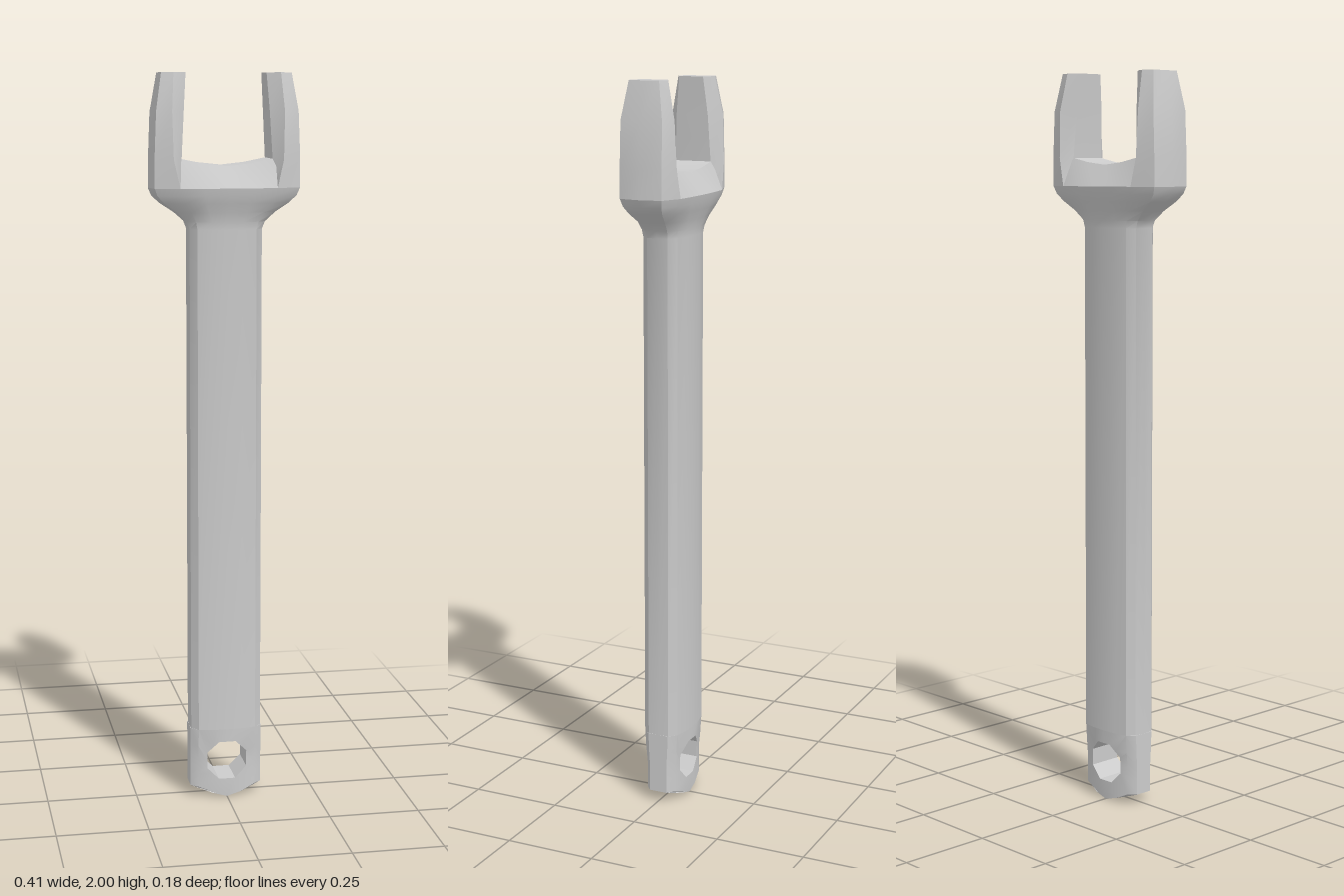
import * as THREE from 'three';
import { toCreasedNormals } from 'three/addons/utils/BufferGeometryUtils.js';

// Skins a list of cross-sections; loops may be closed, the last one capped
function loft(rings, { closed = true, cap = false } = {}) {
  const n = rings[0].length;
  const index = [];
  for (let i = 0; i < rings.length - 1; i++) {
    for (let j = 0; j < (closed ? n : n - 1); j++) {
      const k = (j + 1) % n;
      const a = i * n + j, b = i * n + k, c = b + n, d = a + n;
      index.push(a, b, c, a, c, d);
    }
  }
  if (cap) {
    const s = (rings.length - 1) * n;
    for (let j = 1; j < n - 1; j++) index.push(s, s + j, s + j + 1);
  }
  const g = new THREE.BufferGeometry();
  g.setAttribute('position', new THREE.Float32BufferAttribute(rings.flat(2), 3));
  g.setIndex(index);
  return toCreasedNormals(g, 0.62);
}

// Full section from a quarter profile running from the side (x, 0) to the front (0, z)
function section(y, quarter) {
  const q = quarter.slice(0, -1);
  const back = quarter.slice(1).reverse();
  return [
    ...q.map(([x, z]) => [x, y, -z]),
    ...back.map(([x, z]) => [-x, y, -z]),
    ...q.map(([x, z]) => [-x, y, z]),
    ...back.map(([x, z]) => [x, y, z]),
  ];
}

const HANDLE = [[0.1, 0], [0.098, 0.03], [0.08, 0.05], [0.04, 0.058], [0, 0.06]];
const HEAD = [[0.205, 0], [0.195, 0.06], [0.13, 0.083], [0.065, 0.088], [0, 0.09]];

// Handle flaring into the head
function bodyGeometry() {
  const blend = (tx, tz) => HANDLE.map(([x, z], i) => [
    THREE.MathUtils.lerp(x, HEAD[i][0], tx),
    THREE.MathUtils.lerp(z, HEAD[i][1], tz),
  ]);
  const steps = [[0.2, 0, 0], [1.59, 0, 0], [1.61, 0.08, 0.08], [1.635, 0.35, 0.3],
    [1.66, 0.72, 0.62], [1.68, 0.92, 0.85], [1.7, 1, 1]];
  return loft(steps.map(([y, tx, tz]) => section(y, blend(tx, tz))));
}

// Handle end with pointed bottom and hanging hole
function footGeometry() {
  const half = [[0, 0.2], [0.04, 0.2], [0.1, 0.2], [0.1, 0.15], [0.1, 0.108],
    [0.1, 0.07], [0.1, 0.03], [0.04, 0.011], [0, 0]];
  const outline = [
    ...half.map(([x, y]) => [-x, y]),
    ...half.slice(1, -1).reverse(),
  ];
  const hole = outline.map((_, k) => {
    const a = Math.PI / 2 + k * Math.PI / 8;
    const r = k % 2 ? 0.06 : 0.06 * Math.cos(Math.PI / 8);
    return [r * Math.cos(a), 0.108 + r * Math.sin(a)];
  });
  const mid = outline.map(([x, y]) => [x * 0.8, y]);
  const depth = (x, y) => {
    const ax = Math.abs(x);
    const z = ax > 0.08 ? 0.05 - (ax - 0.08) : 0.06 - 0.01 * (ax / 0.08) ** 2;
    return z * (0.85 + 0.15 * THREE.MathUtils.smoothstep(y, 0.12, 0.175));
  };
  const ring = (pts, s) => pts.map(([x, y]) => [x, y, s * depth(x, y)]);
  return loft([ring(outline, 1), ring(mid, 1), ring(hole, 1),
    ring(hole, -1), ring(mid, -1), ring(outline, -1), ring(outline, 1)]);
}

// Tapered jaw: inner face, crest, outer corner and outer edge at each height
function jawGeometry(side) {
  const rows = [
    [1.7, 0.124, 0.052, 0.13, 0.083, 0.195, 0.06, 0.205],
    [1.775, 0.122, 0.052, 0.147, 0.08, 0.195, 0.06, 0.204],
    [1.9, 0.115, 0.046, 0.15, 0.075, 0.19, 0.059, 0.199],
    [2, 0.108, 0.035, 0.143, 0.054, 0.174, 0.043, 0.175],
  ];
  const rings = rows.map(([y, xi, zi, xc, zc, xo, zo, xe]) => {
    const pts = [[xe, 0], [xo, -zo], [xc, -zc], [xi, -zi], [xi, zi], [xc, zc], [xo, zo]]
      .map(([x, z]) => [side * x, y, z]);
    return side > 0 ? pts : pts.reverse();
  });
  return loft(rings, { cap: true });
}

// Slot floor, shallow in the middle, chamfered to front and back
function floorGeometry() {
  const rows = [[0.13, 0.083, 1.777], [0.065, 0.088, 1.764], [0, 0.09, 1.757]];
  const ring = ([x, z, y], s) => [[s * x, 1.7, -z], [s * x, y, -0.052], [s * x, y, 0.052], [s * x, 1.7, z]];
  return loft([...rows.map((r) => ring(r, -1)), ...rows.slice(0, 2).reverse().map((r) => ring(r, 1))],
    { closed: false });
}

export function createModel() {
  const group = new THREE.Group();
  group.name = 'openEndWrench';
  const material = new THREE.MeshStandardMaterial({ color: 0xcccccc });
  const add = (name, geometry) => {
    const mesh = new THREE.Mesh(geometry, material);
    mesh.name = name;
    group.add(mesh);
  };
  add('handle', bodyGeometry());
  add('handleEnd', footGeometry());
  add('leftJaw', jawGeometry(1));
  add('rightJaw', jawGeometry(-1));
  add('slotFloor', floorGeometry());
  return group;
}
